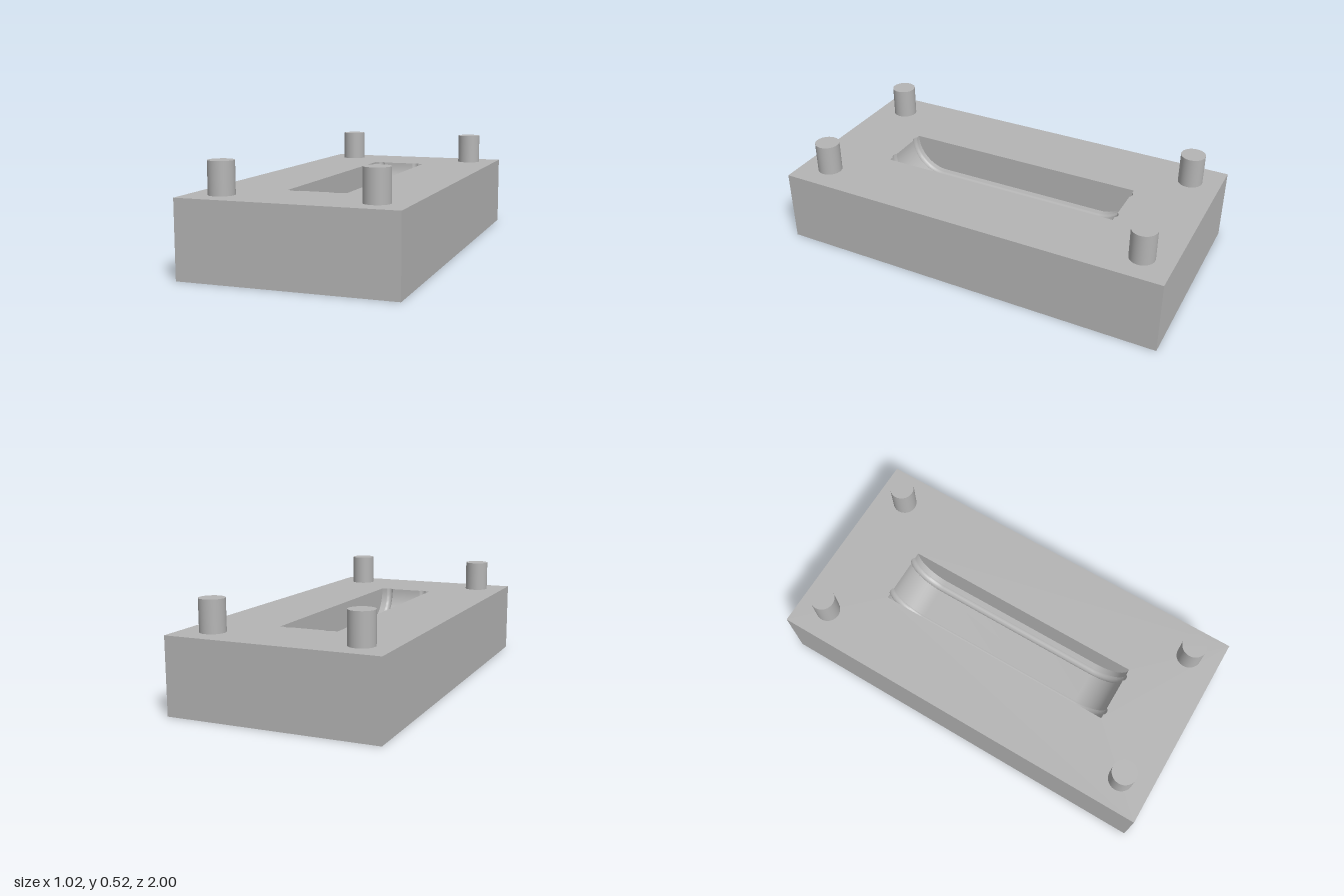
import * as THREE from 'three';
import { toCreasedNormals } from 'three/addons/utils/BufferGeometryUtils.js';

const W = 1.024, H = 0.368, L = 2;          // block size
const X0 = -0.147, X1 = 0.143;              // pocket side walls
const END = 0.625, R = 0.17;                // pocket half length, depth and end radius
const ARC = 16;

// Cross-section over the pocket width: [x, extra depth], with two shallow round grooves
function crossSection() {
  const groove = [[-0.018, 0], [-0.014, 0.006], [-0.007, 0.009], [0, 0.01], [0.007, 0.009], [0.014, 0.006], [0.018, 0]];
  const pts = [[X0, 0]];
  for (const c of [-0.106, 0.096]) for (const [x, e] of groove) pts.push([c + x, e]);
  pts.push([X1, 0]);
  return pts;
}

// Lengthwise path of the pocket floor, [z, y], pushed outward by e
function floorPath(e) {
  const pts = [];
  for (const side of [-1, 1]) {
    for (let i = 0; i <= ARC; i++) {
      const t = (side < 0 ? i : ARC - i) / ARC * Math.PI / 2;
      pts.push([side * (END - R + (R + e) * Math.cos(t)), H - (R + e) * Math.sin(t)]);
    }
  }
  return pts;
}

// Curved, grooved floor swept from end to end
function floorGeometry(section) {
  const columns = section.map(([, e]) => floorPath(e));
  const pos = [], index = [], n = section.length, rows = columns[0].length;
  for (let i = 0; i < rows; i++) {
    for (let j = 0; j < n; j++) {
      const [z, y] = columns[j][i];
      pos.push(section[j][0], y, z);
      if (i < rows - 1 && j < n - 1) {
        const a = i * n + j, b = a + n;
        index.push(a, b, a + 1, b, b + 1, a + 1);
      }
    }
  }
  const g = new THREE.BufferGeometry();
  g.setAttribute('position', new THREE.Float32BufferAttribute(pos, 3));
  g.setIndex(index);
  return toCreasedNormals(g, 0.6);
}

export function createModel() {
  const model = new THREE.Group();
  const grey = new THREE.MeshStandardMaterial({ color: 0xb4b4b4 });
  grey.name = 'plain grey';
  const add = (name, geometry, x = 0, y = 0, z = 0) => {
    const mesh = new THREE.Mesh(geometry, grey);
    mesh.name = name;
    mesh.position.set(x, y, z);
    model.add(mesh);
  };
  const section = crossSection();

  // Block without its top face
  const box = new THREE.BoxGeometry(W, H, L);
  const idx = Array.from(box.index.array);
  idx.splice(12, 6);
  box.setIndex(idx);
  box.clearGroups();
  add('blockBody', box, 0, H / 2, 0);

  // Top face with the pocket opening, notched where the grooves come up
  const top = new THREE.Shape([[-W / 2, -L / 2], [W / 2, -L / 2], [W / 2, L / 2], [-W / 2, L / 2]]
    .map(([x, y]) => new THREE.Vector2(x, y)));
  const opening = [
    ...section.map(([x, e]) => new THREE.Vector2(x, END + e)),
    ...section.slice().reverse().map(([x, e]) => new THREE.Vector2(x, -END - e)),
  ];
  top.holes.push(new THREE.Path(opening));
  add('blockTop', new THREE.ShapeGeometry(top).rotateX(-Math.PI / 2), 0, H, 0);

  // Pocket floor and its two flat side walls
  add('pocketFloor', floorGeometry(section));
  const wall = new THREE.Shape(floorPath(0).map(([z, y]) => new THREE.Vector2(z, y)));
  add('pocketWallRight', new THREE.ShapeGeometry(wall).rotateY(Math.PI / 2), X0);
  add('pocketWallLeft', new THREE.ShapeGeometry(wall).rotateY(-Math.PI / 2), X1);

  // Four locating pegs
  const pegHeight = 0.154;
  const peg = new THREE.CylinderGeometry(0.061, 0.061, pegHeight, 48);
  for (const x of [-0.36, 0.36]) {
    for (const z of [-0.848, 0.848]) add('peg', peg, x, H + pegHeight / 2, z);
  }
  return model;
}
